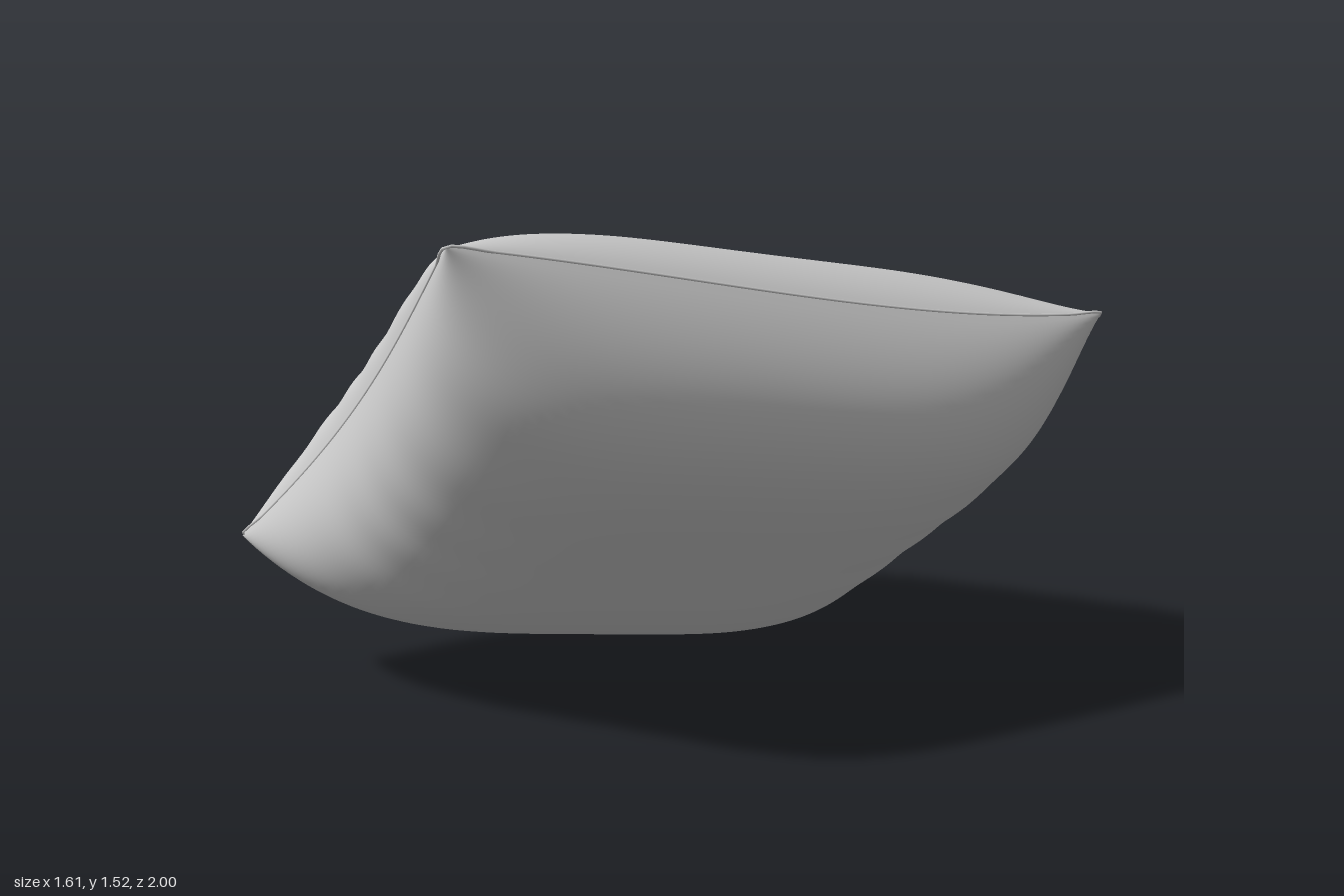
import * as THREE from 'three';

// Seam corners of the tilted cushion
const frontLow = new THREE.Vector3(-0.8, 0.47, 0.99);
const frontHigh = new THREE.Vector3(0.44, 1.52, 0.99);
const backHigh = new THREE.Vector3(0.79, 1.17, -0.97);
const backLow = new THREE.Vector3(-0.51, 0.08, -0.99);

// Cushion axes: across (low to high side), along (back to front), up (out of the top panel)
const across = frontHigh.clone().sub(frontLow).normalize();
const along = frontHigh.clone().sub(backHigh).normalize();
const up = along.clone().cross(across).normalize();

// How far the middle of each seam edge is pulled off the straight line
const frontPull = along.clone().multiplyScalar(-0.11).addScaledVector(up, 0.065);
const backPull = along.clone().multiplyScalar(0.045).addScaledVector(up, 0.03);
const highPull = new THREE.Vector3(0, -0.035, 0);
const lowPull = new THREE.Vector3(0.02, 0.03, 0);

// Point of a panel: a runs low to high, b runs back to front, both -1..1;
// side is 1 for the top panel, -1 for the underside, 0 for the seam.
function cushionPoint(a, b, side) {
  const s = (a + 1) / 2, t = (b + 1) / 2;
  const p = backLow.clone().lerp(backHigh, s)
    .lerp(frontLow.clone().lerp(frontHigh, s), t);

  // Edges are drawn in between the corners, fading towards the middle
  p.addScaledVector(b > 0 ? frontPull : backPull, Math.abs(b) ** 4 * (1 - a * a) * (1 - 0.4 * a));
  p.addScaledVector(a > 0 ? highPull : lowPull, Math.abs(a) ** 5 * (1 - b * b) * (1 - b));
  if (side === 0) return p;

  // Full, boxy filling that thins out at the seam and into the corners, most on the high side
  const edge = Math.max(0, (1 - a ** 4) * (1 - b ** 4));
  const fill = edge ** 0.48 * (1 - (0.35 + 0.2 * a) * a ** 4 * b ** 4);
  let h = (side > 0 ? 0.27 : 0.47) * fill;

  // Soft gathers running in from the short edges
  const gather = Math.max(0, Math.abs(b) - 0.45) * Math.sin(a * 21 + Math.sin(a * 5 + b));
  h += fill * (side > 0 ? 0.015 : 0.008) * gather;

  // Underside swells past the seam on the low side and tucks in on the high side
  const swell = side > 0 ? 0.06 : 0.2;
  p.addScaledVector(across, (a < 0 ? swell : -0.08) * h * a ** 5);
  p.addScaledVector(along, swell * h * b ** 5);
  return p.addScaledVector(up, side * h);
}

// One cloth panel, with rows of points crowded towards the seam
function panel(name, side, material) {
  const geometry = new THREE.PlaneGeometry(2, 2, 72, 72);
  const pos = geometry.attributes.position;
  for (let i = 0; i < pos.count; i++) {
    const a = Math.sin(pos.getX(i) * Math.PI / 2) * side;
    const b = -Math.sin(pos.getY(i) * Math.PI / 2);
    const p = cushionPoint(a, b, side);
    pos.setXYZ(i, p.x, p.y, p.z);
  }
  geometry.computeVertexNormals();
  const mesh = new THREE.Mesh(geometry, material);
  mesh.name = name;
  return mesh;
}

// Thin welt following the four seam edges
function seam(material) {
  const corners = [[-1, -1], [1, -1], [1, 1], [-1, 1]];
  const points = [];
  corners.forEach(([a, b], i) => {
    const [c, d] = corners[(i + 1) % 4];
    for (let k = 0; k < 16; k++) {
      const t = k / 16;
      points.push(cushionPoint(a + (c - a) * t, b + (d - b) * t, 0));
    }
  });
  const path = new THREE.CatmullRomCurve3(points, true);
  const mesh = new THREE.Mesh(new THREE.TubeGeometry(path, 256, 0.004, 6, true), material);
  mesh.name = 'seam';
  return mesh;
}

export function createModel() {
  const cloth = new THREE.MeshStandardMaterial({ color: 0xcccccc, side: THREE.DoubleSide });
  const cushion = new THREE.Group();
  cushion.name = 'cushion';
  cushion.add(panel('topPanel', 1, cloth), panel('bottomPanel', -1, cloth), seam(cloth));
  return cushion;
}
